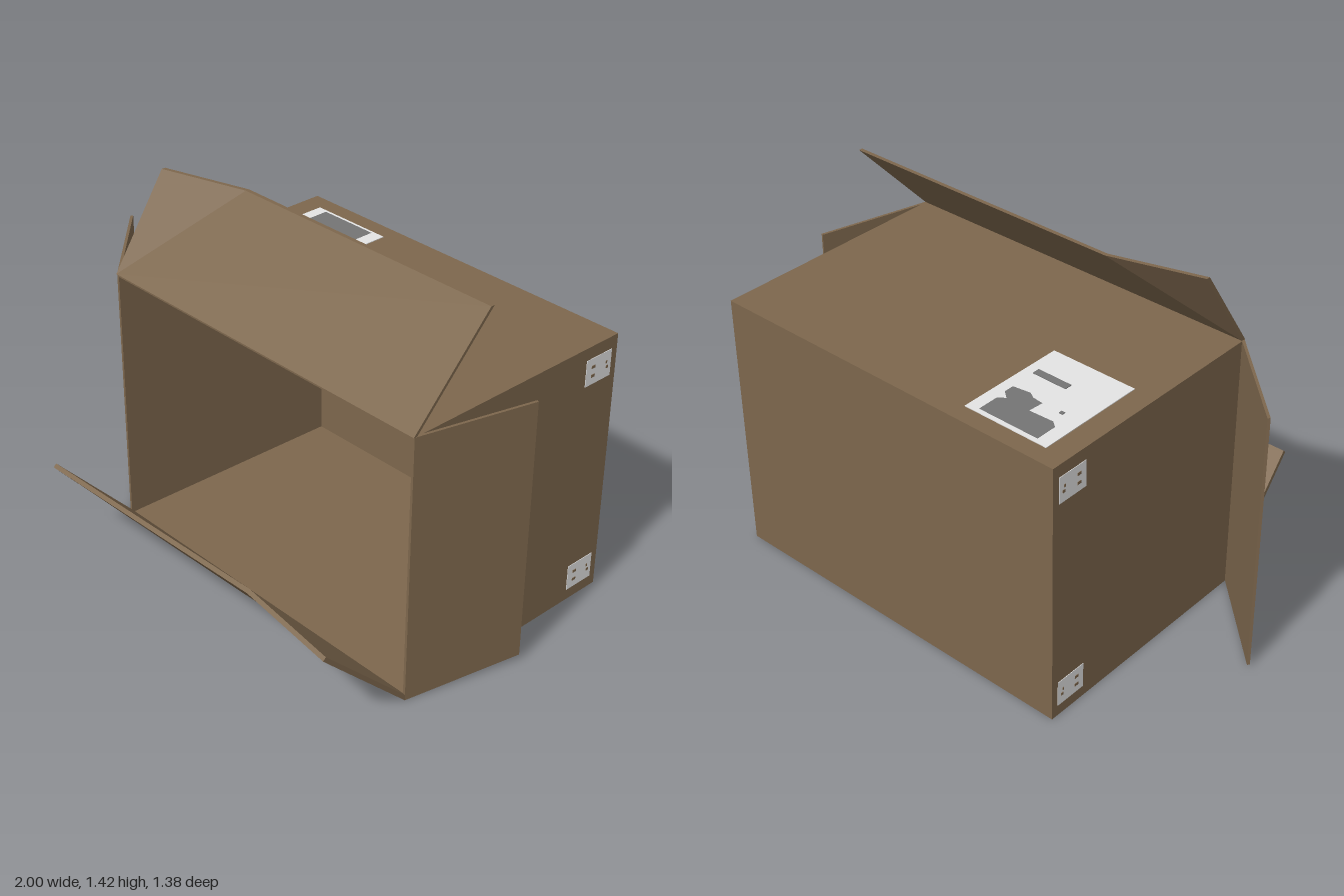
import * as THREE from 'three';

const mat = (name, color, side = THREE.FrontSide) => {
  const m = new THREE.MeshStandardMaterial({ color, side });
  m.name = name;
  return m;
};

// Closed panel between two matching outlines a and b
function panel(a, b) {
  const n = a.length, pos = [];
  const tri = (p, q, r) => pos.push(...p, ...q, ...r);
  for (let i = 1; i < n - 1; i++) {
    tri(a[0], a[i], a[i + 1]);
    tri(b[0], b[i + 1], b[i]);
  }
  for (let i = 0; i < n; i++) {
    const j = (i + 1) % n;
    tri(a[i], b[i], b[j]);
    tri(a[i], b[j], a[j]);
  }
  // Turn the faces outward if the enclosed volume is negative
  let volume = 0;
  const v = (k) => new THREE.Vector3().fromArray(pos, k);
  const o = v(0);
  for (let k = 0; k < pos.length; k += 9) {
    const p = v(k).sub(o), q = v(k + 3).sub(o), r = v(k + 6).sub(o);
    volume += p.dot(q.cross(r));
  }
  if (volume < 0) {
    for (let k = 0; k < pos.length; k += 9) {
      for (let c = 0; c < 3; c++) {
        [pos[k + 3 + c], pos[k + 6 + c]] = [pos[k + 6 + c], pos[k + 3 + c]];
      }
    }
  }
  const g = new THREE.BufferGeometry();
  g.setAttribute('position', new THREE.Float32BufferAttribute(pos, 3));
  g.computeVertexNormals();
  return g;
}

export function createModel() {
  const model = new THREE.Group();
  model.name = 'openCarton';
  const cardboard = mat('cardboard', 0x7d674d);
  const paper = mat('labelPaper', 0xe4e4e4);
  const ink = mat('labelInk', 0x757575, THREE.DoubleSide);

  const add = (name, geometry, material, parent = model) => {
    const m = new THREE.Mesh(geometry, material);
    m.name = name;
    parent.add(m);
    return m;
  };

  // Carton shell: outer corners and slightly tapered inner corners
  const ring = (x0, x1, y0, y1, z) => [[x0, y0, z], [x1, y0, z], [x1, y1, z], [x0, y1, z]];
  const L = -0.65, R = 0.88, H = 1.07, F = 0.315, B = -0.69;
  const outF = ring(L, R, 0, H, F), outB = ring(L, R, 0, H, B);
  const inF = ring(L + 0.01, R - 0.01, 0.012, 1.06, F);
  const inB = ring(-0.605, 0.83, 0.012, 1.06, B + 0.012);
  ['bottomWall', 'leftWall', 'topWall', 'rightWall'].forEach((name, i) => {
    const j = (i + 1) % 4;
    add(name, panel([outF[i], outF[j], outB[j], outB[i]], [inF[i], inF[j], inB[j], inB[i]]), cardboard);
  });
  add('backWall', panel(outB, inB), cardboard);

  // Flaps, each an outline with a thickness offset
  const flap = (name, pts, off) =>
    add(name, panel(pts, pts.map((p) => p.map((c, k) => c + off[k]))), cardboard);
  flap('topFlap', [
    [L, H, 0.303], [R, H, 0.303], [R, 1.42, -0.03], [-0.3, 1.42, -0.03], [L, 1.42, 0.072],
  ], [0, 0, 0.016]);
  flap('bottomFlap', [
    [R, 0, F], [L, 0, F], [-0.63, 0.388, 0.673], [0.45, 0.392, 0.653], [0.86, 0.362, 0.685],
  ], [0, 0.012, -0.012]);
  flap('leftFlap', [
    [R, 0, F], [R, H, F], [0.998, H, -0.14], [0.998, 0.023, -0.14],
  ], [-0.01, 0, -0.003]);
  flap('rightFlap', [
    [L, 0.003, F], [L, 1.072, F], [-1, 1.076, -0.02], [-1, 0.006, -0.02],
  ], [0.007, 0, -0.008]);

  // Shipping label on top with printed blocks
  const label = new THREE.Group();
  label.name = 'topLabel';
  model.add(label);
  const topPlate = (name, x0, x1, z0, z1, y, h, material) =>
    add(name, new THREE.BoxGeometry(x1 - x0, h, z1 - z0), material, label)
      .position.set((x0 + x1) / 2, y, (z0 + z1) / 2);
  topPlate('labelSheet', -0.56, -0.205, -0.62, -0.175, H + 0.001, 0.004, paper);
  topPlate('printedBar', -0.39, -0.245, -0.33, -0.3, H + 0.004, 0.004, ink);
  topPlate('printedDot', -0.48, -0.465, -0.45, -0.435, H + 0.004, 0.004, ink);
  const blot = new THREE.Shape([
    [-0.51, -0.605], [-0.255, -0.605], [-0.255, -0.52], [-0.28, -0.5], [-0.25, -0.475],
    [-0.25, -0.435], [-0.32, -0.425], [-0.345, -0.44], [-0.39, -0.445], [-0.385, -0.505],
    [-0.485, -0.5], [-0.51, -0.52],
  ].map(([x, z]) => new THREE.Vector2(x, -z)));
  const blotMesh = add('printedBlock', new THREE.ShapeGeometry(blot), ink, label);
  blotMesh.rotation.x = -Math.PI / 2;
  blotMesh.position.y = H + 0.006;

  // Small corner stickers with tiny marks on both sides
  for (const [side, x, s] of [['left', R, 1], ['right', L, -1]]) {
    for (const y of [0.968, 0.098]) {
      const sticker = new THREE.Group();
      sticker.name = side + 'Sticker';
      sticker.position.set(x, y, -0.595);
      model.add(sticker);
      add('stickerSheet', new THREE.BoxGeometry(0.004, 0.105, 0.132), paper, sticker);
      for (const [dy, dz, w] of [[0.018, 0.03, 0.018], [-0.018, 0.03, 0.018], [-0.01, -0.045, 0.01], [0.01, -0.04, 0.006]]) {
        add('stickerMark', new THREE.BoxGeometry(0.004, 0.011, w), cardboard, sticker)
          .position.set(s * 0.002, dy, dz);
      }
    }
  }
  return model;
}
